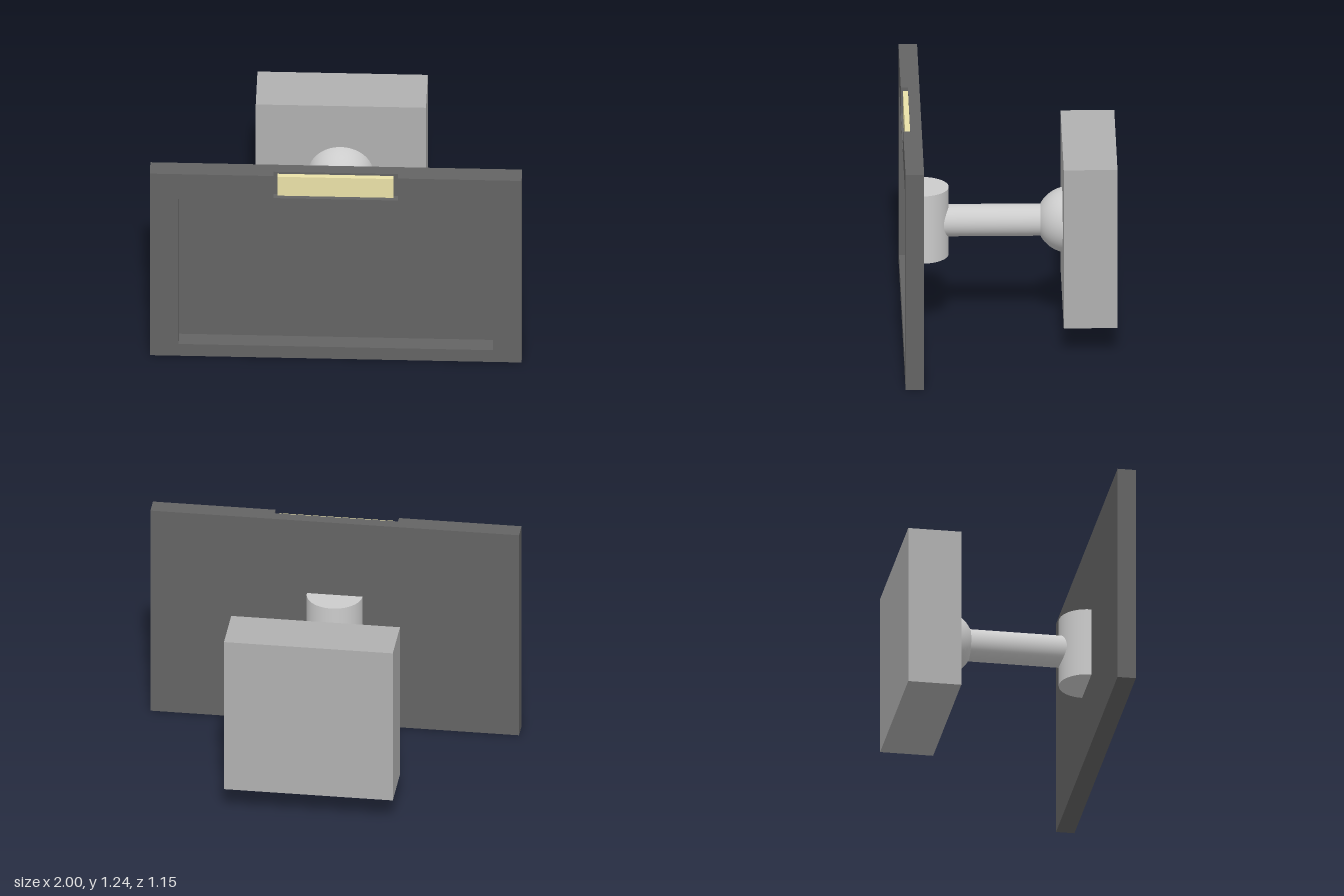
import * as THREE from 'three';

const material = (color) => new THREE.MeshStandardMaterial({ color });
const grey = material(0xcccccc);
const wallGrey = material(0xb0b0b0);
const dark = material(0x646464);
const cream = material(0xeae1a8);

const MID_Y = 0.598;
const H = 1.235;

function add(parent, name, geometry, mat, x = 0, y = 0, z = 0) {
  const mesh = new THREE.Mesh(geometry, mat);
  mesh.name = name;
  mesh.position.set(x, y, z);
  parent.add(mesh);
  return mesh;
}

const polygon = (points) => points.map(([x, y]) => new THREE.Vector2(x, y));

// Slab of the given outline between two depths, with an optional opening
function slab(outline, z0, z1, hole) {
  const shape = new THREE.Shape(polygon(outline));
  if (hole) shape.holes.push(new THREE.Path(polygon(hole)));
  return new THREE.ExtrudeGeometry(shape, { depth: z1 - z0, bevelEnabled: false }).translate(0, 0, z0);
}

export function createModel() {
  const model = new THREE.Group();
  model.name = 'wallMountedScreen';

  // Screen: back plate, recessed frame, and front frame with a notch in its top edge
  const screen = new THREE.Group();
  screen.name = 'screen';
  model.add(screen);
  const outline = [[-1, 0], [1, 0], [1, H], [-1, H]];
  const notched = [[-1, 0], [1, 0], [1, H], [0.335, H], [0.335, 1.085], [-0.335, 1.085], [-0.335, H], [-1, H]];
  const opening = [[-0.845, 0.08], [-0.845, 1.067], [0.845, 1.067], [0.845, 0.08]];
  add(screen, 'screenBack', slab(outline, 0.475, 0.485), dark);
  add(screen, 'screenFrame', slab(outline, 0.485, 0.537, opening), dark);
  add(screen, 'screenFrontFrame', slab(notched, 0.537, 0.575, opening), dark);

  // Light strip seated in the notch
  add(screen, 'lightStrip', new THREE.BoxGeometry(0.625, 0.128, 0.027), cream, -0.002, 1.158, 0.5505);

  // Half-round bracket on the back of the screen
  add(model, 'screenBracket', new THREE.CylinderGeometry(0.151, 0.151, 0.386, 48, 1, false, Math.PI / 2, Math.PI),
    grey, 0, MID_Y, 0.475);

  // Arm and ball joint
  const arm = add(model, 'arm', new THREE.CylinderGeometry(0.087, 0.087, 0.72, 48), grey, 0, MID_Y, 0.09);
  arm.rotation.x = Math.PI / 2;
  add(model, 'ballJoint', new THREE.SphereGeometry(0.18, 48, 32), grey, 0, MID_Y, -0.326);

  // Wall block
  add(model, 'wallBlock', new THREE.BoxGeometry(0.916, 0.908, 0.289), wallGrey, 0, MID_Y, -0.4305);

  return model;
}
